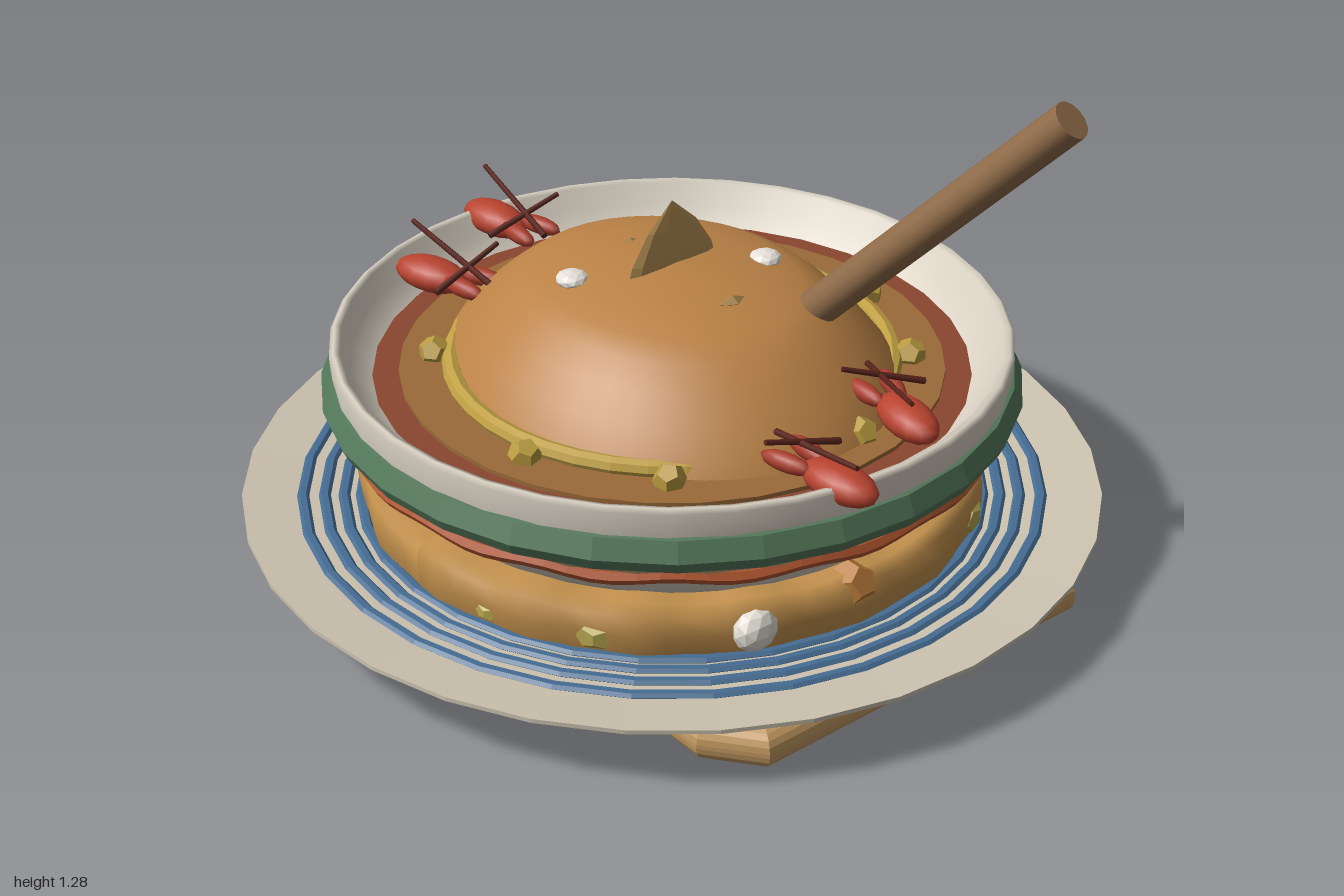
import * as THREE from 'three';

const mat = (color, flat = false) =>
  new THREE.MeshStandardMaterial({ color, flatShading: flat, side: THREE.DoubleSide });

export function createModel() {
  const root = new THREE.Group();
  const add = (name, geo, color, pos = [0, 0, 0], flat = false, parent = root) => {
    const m = new THREE.Mesh(geo, mat(color, flat));
    m.name = name;
    m.position.set(...pos);
    parent.add(m);
    return m;
  };
  const lathe = (pts, seg) => new THREE.LatheGeometry(pts.map(p => new THREE.Vector2(...p)), seg);
  const ring = (name, r, y, tube, color, sides = 6, seg = 32, squash = 1) => {
    const m = add(name, new THREE.TorusGeometry(r, tube, sides, seg), color, [0, y, 0], true);
    m.rotation.x = Math.PI / 2;
    m.scale.z = squash;
    return m;
  };
  const rod = (name, a, b, r0, r1, color, sides, parent = root) => {
    const A = new THREE.Vector3(...a), B = new THREE.Vector3(...b), d = B.clone().sub(A);
    const m = add(name, new THREE.CylinderGeometry(r1, r0, d.length(), sides), color, [0, 0, 0], false, parent);
    m.position.copy(A).add(B).multiplyScalar(0.5);
    m.quaternion.setFromUnitVectors(new THREE.Vector3(0, 1, 0), d.normalize());
    return m;
  };

  // Bread slab with chamfered corners and rolled edges
  const slab = new THREE.Shape();
  const X = 0.82, Z = 0.5, cx = 0.73, cz = 0.43;
  [[X, -cz], [X, cz], [cx, Z], [-cx, Z], [-X, cz], [-X, -cz], [-cx, -Z], [cx, -Z]]
    .forEach((p, i) => (i ? slab.lineTo(...p) : slab.moveTo(...p)));
  const slabGeo = new THREE.ExtrudeGeometry(slab, {
    depth: 0.01, bevelThickness: 0.045, bevelSize: 0.05, bevelSegments: 5,
  });
  slabGeo.rotateX(-Math.PI / 2);
  add('breadSlab', slabGeo, 0xc49a62, [0, 0.065, 0]);

  // Plate with foot
  add('plate', lathe([[0, 0.005], [0.365, 0.005], [0.365, 0.03], [0.6, 0.1], [0.87, 0.133], [1, 0.155],
    [1, 0.165], [0.87, 0.15], [0.7, 0.14], [0.4, 0.13], [0, 0.13]], 32), 0xcdc3b0, [0, 0, 0], true);
  [0.725, 0.765, 0.81, 0.86].forEach((r, i) =>
    ring('plateStripe', r, 0.146 + i * 0.002, 0.014, 0x456c92, 6, 32, 0.6));

  // Crust shell with a wavy upper edge
  const crust = lathe([[0, 0.02], [0.61, 0.02], [0.69, 0.075], [0.715, 0.14], [0.725, 0.2],
    [0.72, 0.25], [0.69, 0.265], [0.6, 0.265]], 72);
  const cp = crust.attributes.position;
  for (let i = 0; i < cp.count; i++) {
    const a = Math.atan2(cp.getZ(i), cp.getX(i)), y = cp.getY(i), w = Math.sin(a * 18);
    const k = 1 + 0.008 * w * (y > 0.03 ? 1 : 0);
    cp.setXYZ(i, cp.getX(i) * k, y + (y > 0.24 ? 0.008 * w : 0), cp.getZ(i) * k);
  }
  crust.computeVertexNormals();
  add('crust', crust, 0xc2904c);

  // Mixed filling showing on the underside
  const mix = [0x9a5034, 0x8a6a3c, 0x8c94a0, 0xb0803f, 0x7d4a30];
  for (let i = 0; i < 30; i++) {
    const g = new THREE.RingGeometry(0.36 + (i * 7 % 5) * 0.03, 0.47 + (i * 3 % 4) * 0.035, 4, 1,
      i * Math.PI / 15, Math.PI / 15);
    add('fillingPatch', g.rotateX(Math.PI / 2), mix[(i * 3 + (i >> 2)) % 5], [0, 0.018, 0]);
  }

  // Bowl with bands
  add('bowl', lathe([[0, 0.25], [0.63, 0.25], [0.69, 0.3], [0.74, 0.36], [0.765, 0.41], [0.775, 0.48],
    [0.78, 0.545], [0.77, 0.555], [0.755, 0.55], [0.735, 0.5], [0.69, 0.455], [0.66, 0.44]], 36), 0xd8d0c2);
  add('greenBand', lathe([[0.76, 0.405], [0.79, 0.41], [0.805, 0.44], [0.785, 0.485], [0.76, 0.49]], 28),
    0x54785a, [0, 0, 0], true);
  const red = ring('redBand', 0.748, 0.373, 0.018, 0xb0552f, 6, 96);
  const rp = red.geometry.attributes.position;
  for (let i = 0; i < rp.count; i++)
    rp.setZ(i, rp.getZ(i) + 0.006 * Math.sin(16 * Math.atan2(rp.getY(i), rp.getX(i))));
  red.geometry.computeVertexNormals();
  ring('creamBand', 0.752, 0.398, 0.014, 0xc8a878, 6, 32);

  // Soup surface, yellow ring and diced pieces
  add('sauce', new THREE.CylinderGeometry(0.685, 0.66, 0.03, 32), 0x8a4630, [0, 0.45, 0]);
  add('broth', new THREE.CylinderGeometry(0.625, 0.625, 0.03, 32), 0x9a6a38, [0, 0.46, 0]);
  ring('yellowRing', 0.505, 0.485, 0.022, 0xc0a044, 8, 40);
  [40, 75, 130, 167, 207, 239, 278, 310, 350].forEach(d => {
    const a = d * Math.PI / 180;
    const m = add('dicedPiece', new THREE.DodecahedronGeometry(0.038), 0xb89a3f,
      [0.545 * Math.cos(a), 0.485, 0.545 * Math.sin(a)], true);
    m.rotation.y = a;
  });

  // Domed loaf
  const dome = add('dome', lathe([[0.575, 0.46], [0.55, 0.5], [0.5, 0.555], [0.44, 0.61], [0.38, 0.655],
    [0.32, 0.683], [0.22, 0.705], [0.12, 0.72], [0, 0.728]], 40), 0xbb8246);
  dome.scale.z = 0.86;

  // Upright crisp, crumbs and white dots on the dome
  const crisp = add('crisp', lathe([[0.13, 0.69], [0.115, 0.74], [0.07, 0.81], [0, 0.875]], 10),
    0xb89255, [0, 0, 0], true);
  crisp.scale.x = 0.16;
  [[0.21, 0.708, 0, 1], [-0.15, 0.715, 0, 0.5]].forEach(([x, y, z, s]) => {
    const m = add('crumb', new THREE.OctahedronGeometry(0.035 * s), 0xa88448, [x, y, z], true);
    m.scale.set(0.6, 0.4, 1);
  });
  [[0.09, -0.2], [-0.11, 0.2]].forEach(([x, z]) => {
    const m = add('whiteDot', new THREE.IcosahedronGeometry(0.038, 1), 0xe6e2da, [x, 0.7, z], true);
    m.scale.y = 0.5;
  });

  // Stirring stick
  rod('stick', [0.25, 0.62, -0.17], [0.825, 1.255, -0.378], 0.045, 0.045, 0x8f6b48, 14);

  // Red shellfish on the rim: body position, yaw, inward side
  [[-0.72, -0.03, 0.1], [-0.58, 0.26, 0.3], [0.62, -0.15, Math.PI - 0.2], [0.72, 0.14, Math.PI + 0.1]]
    .forEach(([x, z, yaw]) => {
      const g = new THREE.Group();
      g.name = 'shellfish';
      g.position.set(x, 0.54, z);
      g.rotation.y = yaw;
      root.add(g);
      const body = add('body', new THREE.SphereGeometry(1, 14, 10), 0xb8432f, [0, 0, 0], false, g);
      body.scale.set(0.1, 0.04, 0.053);
      [-1, 1].forEach(s => {
        const claw = add('claw', new THREE.SphereGeometry(1, 10, 8), 0xa83c2b, [0.12, 0.012, s * 0.035], false, g);
        claw.scale.set(0.065, 0.022, 0.022);
        claw.rotation.y = -s * 0.15;
      });
      rod('feeler', [0.2, 0.03, 0.02], [-0.09, 0.095, -0.05], 0.008, 0.006, 0x5a241c, 6, g);
      rod('feeler', [0.09, 0.02, 0.1], [0.13, 0.08, -0.09], 0.008, 0.006, 0x5a241c, 6, g);
    });

  // Garnish pressed into the crust, repeated on the opposite side
  for (const s of [1, -1]) {
    const egg = add('eggPiece', new THREE.IcosahedronGeometry(0.05, 1), 0xe2ddd4, [s * 0.655, 0.21, s * 0.31], true);
    egg.scale.set(0.8, 1, 1.1);
    add('orangeCube', new THREE.DodecahedronGeometry(0.055), 0xb67a38, [s * 0.685, 0.235, s * 0.06], true);
    [[-0.6, 0.19, 0.055], [-0.43, 0.185, 0.045], [0.2, 0.175, 0.03], [0.43, 0.185, 0.045]].forEach(([x, y, r]) => {
      const z = Math.sqrt(0.71 ** 2 - x * x);
      const chip = add('yellowChip', new THREE.DodecahedronGeometry(r), 0xb8a850, [s * x, y, s * z], true);
      chip.scale.set(1, 0.8, 0.5);
      chip.rotation.y = Math.atan2(x, z);
    });
  }
  return root;
}
